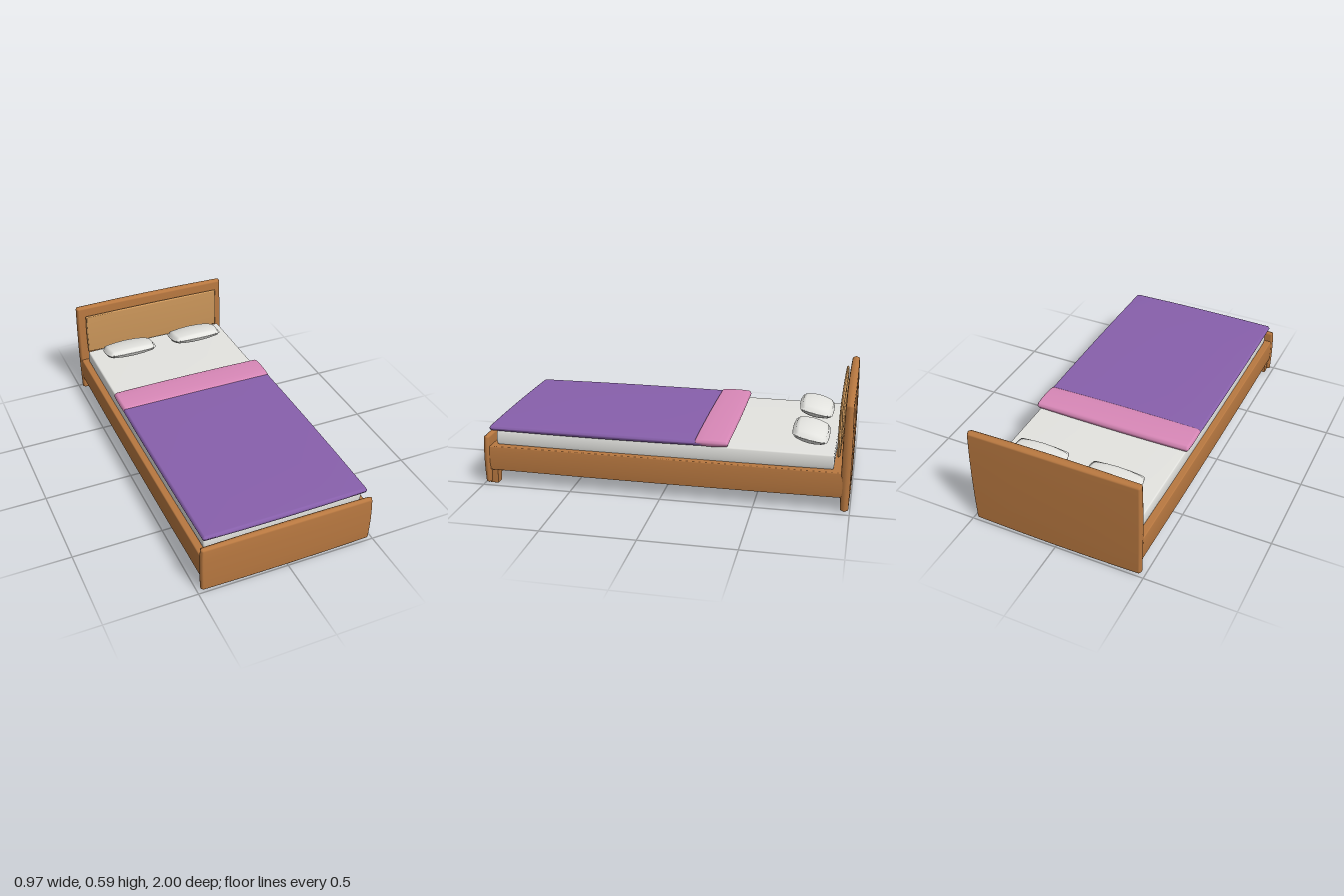
import * as THREE from 'three';
import { mergeVertices } from 'three/addons/utils/BufferGeometryUtils.js';

const material = (color) => new THREE.MeshStandardMaterial({ color });
const wood = material(0xb87840);
const panelWood = material(0xcb965a);
const linen = material(0xe4e4e0);
const purple = material(0x8860ac);
const pink = material(0xd988b8);

// Smooth-shaded box with rounded edges (r) and gently swelling faces (bulge)
function softBox(w, h, d, r, bulge) {
  const geo = new THREE.BoxGeometry(2, 2, 2, 6, 6, 6);
  geo.deleteAttribute('normal');
  geo.deleteAttribute('uv');
  const soft = mergeVertices(geo);
  const pos = soft.attributes.position;
  const half = [w / 2, h / 2, d / 2];
  const push = new THREE.Vector3();
  for (let i = 0; i < pos.count; i++) {
    // Grid step -3..3: the last step on each axis is the rounding
    const step = [pos.getX(i), pos.getY(i), pos.getZ(i)].map((v) => Math.round(v * 3));
    const u = step.map((s) => THREE.MathUtils.clamp(s / 2, -1, 1));
    push.set(...step.map((s) => (Math.abs(s) === 3 ? Math.sign(s) : 0))).setLength(r);
    const p = push.toArray().map((e, k) => {
      const a = u[(k + 1) % 3], b = u[(k + 2) % 3];
      return u[k] * (half[k] - r - bulge * (a * a + b * b) / 2) + e;
    });
    pos.setXYZ(i, ...p);
  }
  soft.computeVertexNormals();
  return soft;
}

export function createModel() {
  const bed = new THREE.Group();
  bed.name = 'bed';

  // Part given by its limits on each axis
  const add = (name, mat, [x0, x1], [y0, y1], [z0, z1], r = 0.008, bulge = 0.006) => {
    const mesh = new THREE.Mesh(softBox(x1 - x0, y1 - y0, z1 - z0, r, bulge), mat);
    mesh.position.set((x0 + x1) / 2, (y0 + y1) / 2, (z0 + z1) / 2);
    mesh.name = name;
    bed.add(mesh);
    return mesh;
  };

  // Wooden frame
  add('headboard', wood, [-0.484, 0.484], [0.002, 0.59], [-1, -0.943], 0.01, 0.007);
  add('headboardPanel', panelWood, [-0.437, 0.437], [0.283, 0.54], [-0.94, -0.916], 0.005, 0.005);
  add('footboard', wood, [-0.484, 0.484], [0.002, 0.282], [0.955, 1], 0.01, 0.006);
  add('bedFrame', wood, [-0.482, 0.482], [0.076, 0.226], [-0.985, 0.975], 0.006, 0.006);

  // Square feet behind the footboard
  for (const side of [-1, 1]) {
    add('foot', wood, [side * 0.437 - 0.027, side * 0.437 + 0.027], [0, 0.1], [0.925, 0.975], 0.002, 0.001);
  }

  // Bedding
  add('mattress', linen, [-0.447, 0.447], [0.215, 0.306], [-0.912, 0.935], 0.008, 0.006);
  add('blanket', purple, [-0.462, 0.462], [0.297, 0.339], [-0.3, 0.968], 0.01, 0.006);
  add('blanketFold', pink, [-0.462, 0.462], [0.299, 0.347], [-0.36, -0.175], 0.012, 0.005);

  // Pillows, raised toward the foot end
  for (const side of [-1, 1]) {
    const x = side * 0.216;
    const pillow = add('pillow', linen, [x - 0.158, x + 0.158], [0.314, 0.384], [-0.872, -0.672], 0.022, 0.014);
    pillow.rotation.x = -0.2;
  }

  return bed;
}
